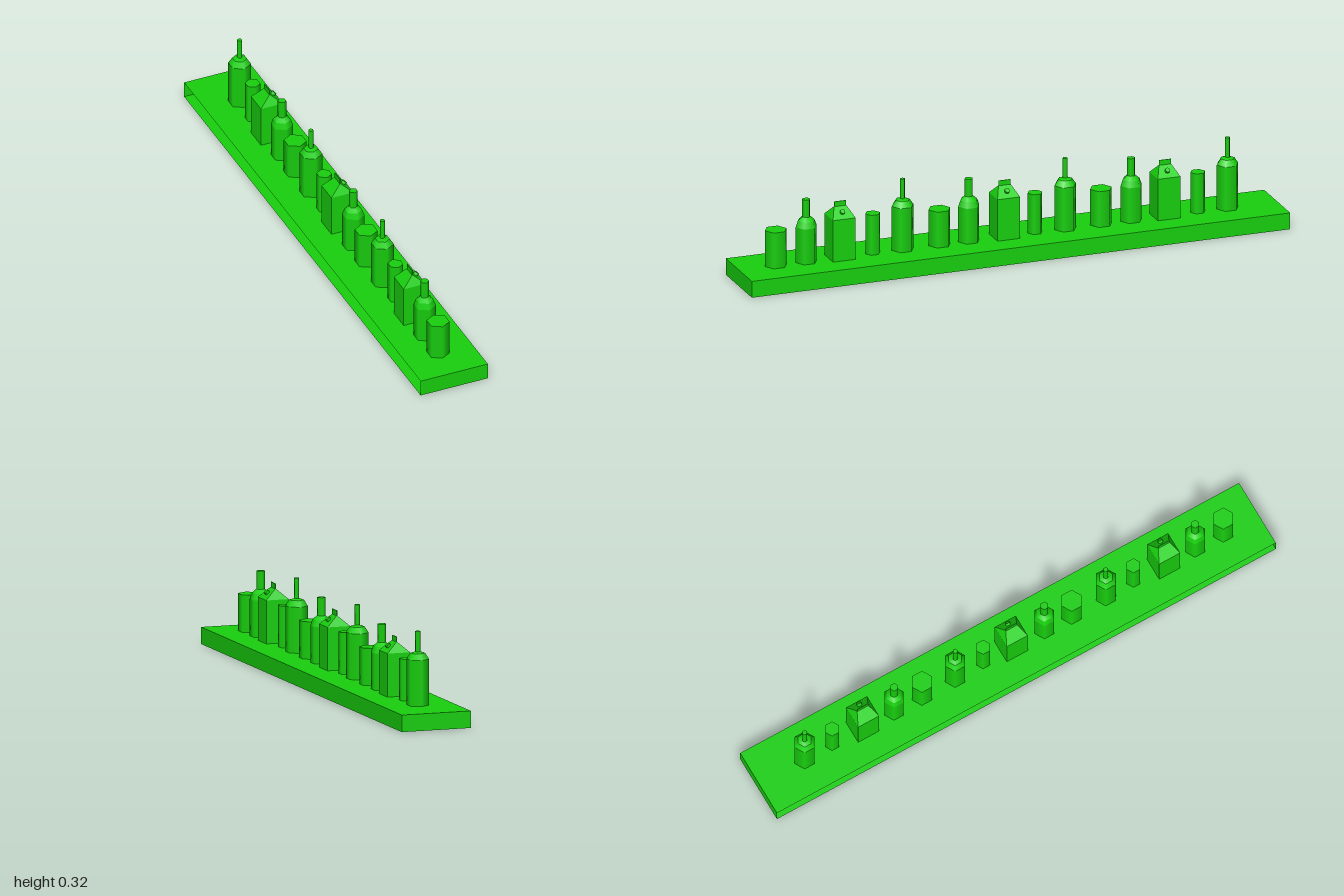
import * as THREE from 'three';

const material = new THREE.MeshStandardMaterial({ color: 0x18d00e, side: THREE.DoubleSide });
const flat = material.clone();
flat.flatShading = true;

const TOP = 0.06; // height of the shelf surface

function add(parent, name, geometry, mat = material) {
  const mesh = new THREE.Mesh(geometry, mat);
  mesh.name = name;
  parent.add(mesh);
  return mesh;
}

// Six-sided vessel from stacked frustums; profile is [radius, y] from bottom to top
function vessel(name, profile) {
  const group = new THREE.Group();
  group.name = name;
  for (let i = 1; i < profile.length; i++) {
    const [r0, y0] = profile[i - 1], [r1, y1] = profile[i];
    const last = i === profile.length - 1;
    const g = new THREE.CylinderGeometry(r1, r0, y1 - y0, 6, 1, !last);
    add(group, `${name}Section${i}`, g).position.y = (y0 + y1) / 2;
  }
  return group;
}

// Surface from corner points and quad / triangle faces
function faceted(points, faces) {
  const g = new THREE.BufferGeometry();
  g.setAttribute('position', new THREE.Float32BufferAttribute(points.flat(), 3));
  g.setIndex(faces.flatMap(([a, b, c, d]) => d === undefined ? [a, b, c] : [a, b, c, a, c, d]));
  const out = g.toNonIndexed();
  out.computeVertexNormals();
  return out;
}

// Gable-top carton with folded ends, sealed fin and a round cap
function carton() {
  const group = new THREE.Group();
  group.name = 'carton';
  const h = 0.042, eave = 0.213, ridge = 0.25, f = 0.022;
  add(group, 'cartonBody', new THREE.BoxGeometry(2 * h, eave - TOP, 2 * h), flat)
    .position.y = (eave + TOP) / 2;
  add(group, 'cartonRoof', faceted(
    [[-h, eave, h], [h, eave, h], [h, eave, -h], [-h, eave, -h], [0, ridge, f], [0, ridge, -f]],
    [[0, 1, 4], [1, 2, 5, 4], [2, 3, 5], [3, 0, 4, 5]]), flat);
  add(group, 'cartonFin', new THREE.BoxGeometry(0.003, 0.022, 2 * f), flat).position.y = 0.256;
  const cap = add(group, 'cartonCap', new THREE.CylinderGeometry(0.009, 0.009, 0.014, 8));
  cap.position.set(0.023, 0.233, 0);
  cap.rotation.z = -Math.atan2(h, ridge - eave) + 0.1;
  return group;
}

const makers = {
  can: () => vessel('can', [[0.04, TOP], [0.04, 0.192]]),
  bottle: () => vessel('bottle',
    [[0.039, TOP], [0.039, 0.19], [0.031, 0.212], [0.015, 0.226], [0.015, 0.29]]),
  carton,
  smallCan: () => vessel('smallCan', [[0.027, TOP], [0.027, 0.207]]),
  tallBottle: () => vessel('tallBottle',
    [[0.04, TOP], [0.04, 0.222], [0.026, 0.243], [0.009, 0.248], [0.009, 0.32]]),
};

export function createModel() {
  const model = new THREE.Group();
  model.name = 'stockedShelf';

  // Shelf slab, hollow and open along its -x side
  const w = 0.128;
  add(model, 'shelf', faceted(
    [[-w, 0, 1], [w, 0, 1], [w, 0, -1], [-w, 0, -1],
      [-w, TOP, 1], [w, TOP, 1], [w, TOP, -1], [-w, TOP, -1]],
    [[0, 1, 5, 4], [1, 2, 6, 5], [2, 3, 7, 6], [4, 5, 6, 7], [3, 2, 1, 0]]), flat);

  // The same five goods repeat three times, from front to back
  const rows = {
    can: [0.863, 0.255, -0.345],
    bottle: [0.75, 0.146, -0.457],
    carton: [0.624, 0.013, -0.583],
    smallCan: [0.503, -0.1, -0.705],
    tallBottle: [0.392, -0.212, -0.815],
  };
  for (const [kind, spots] of Object.entries(rows)) {
    for (const z of spots) {
      const item = makers[kind]();
      item.position.z = z;
      model.add(item);
    }
  }
  return model;
}
